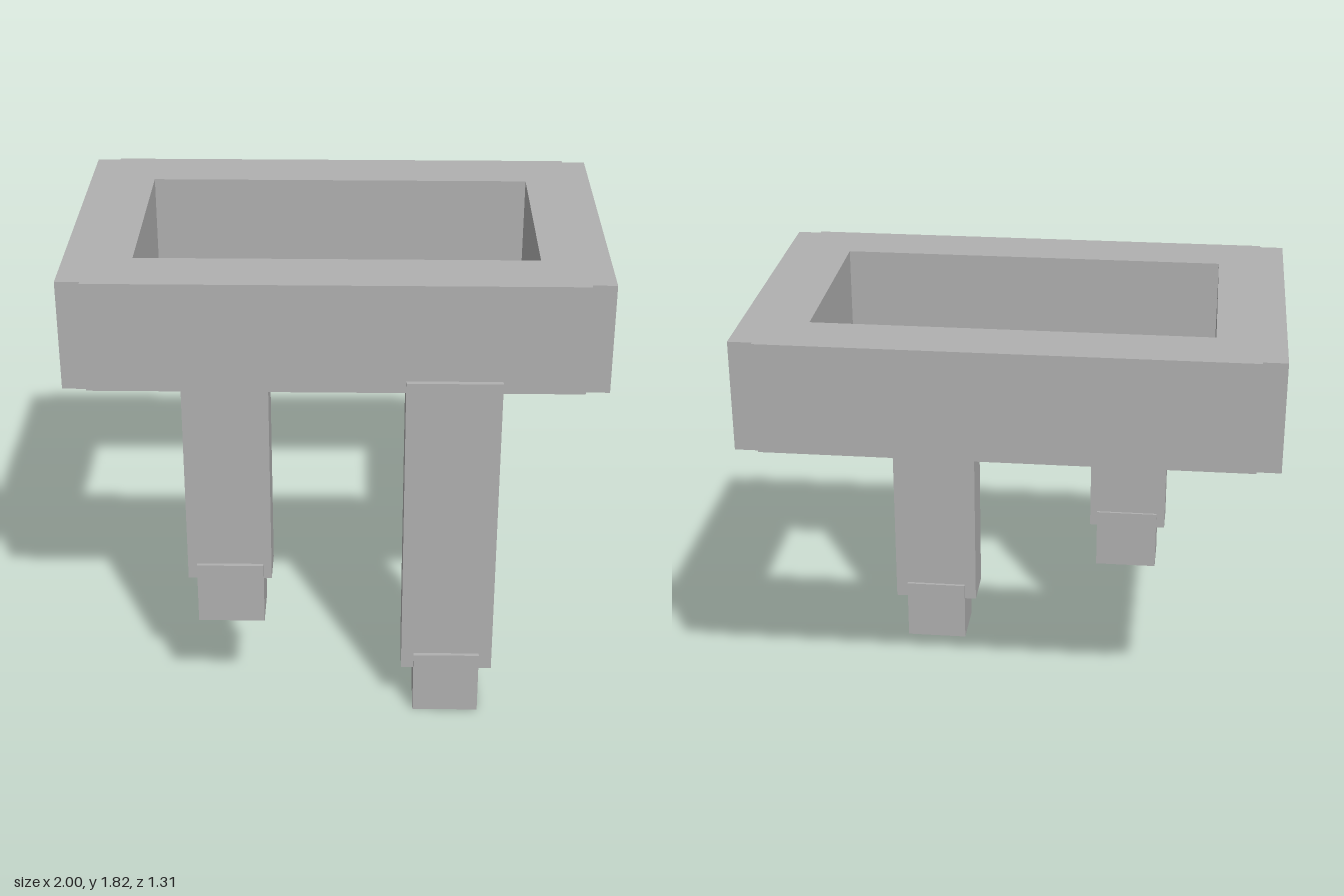
import * as THREE from 'three';

export function createModel() {
  const model = new THREE.Group();
  const grey = new THREE.MeshStandardMaterial({ color: 0xb0b0b0 });
  grey.name = 'plain grey';

  // Box given by its limits along each axis
  function block(name, [x0, x1], [y0, y1], [z0, z1]) {
    const mesh = new THREE.Mesh(new THREE.BoxGeometry(x1 - x0, y1 - y0, z1 - z0), grey);
    mesh.position.set((x0 + x1) / 2, (y0 + y1) / 2, (z0 + z1) / 2);
    mesh.name = name;
    return mesh;
  }

  // Rectangular frame: long rails stand slightly proud of the side rails.
  // Drawn in plan with shape y = -z, then laid flat.
  const toPoints = (list) => list.map(([x, z]) => new THREE.Vector2(x, -z));
  const outline = new THREE.Shape(toPoints([
    [-1, 0.605], [-0.91, 0.605], [-0.91, 0.62], [0.91, 0.62], [0.91, 0.605], [1, 0.605],
    [1, -0.642], [0.91, -0.642], [0.91, -0.656], [-0.91, -0.656], [-0.91, -0.642], [-1, -0.642],
  ]));
  outline.holes.push(new THREE.Path(toPoints([
    [-0.745, 0.383], [-0.745, -0.42], [0.745, -0.42], [0.745, 0.383],
  ])));
  const frameGeometry = new THREE.ExtrudeGeometry(outline, { depth: 0.425, bevelEnabled: false });
  frameGeometry.rotateX(-Math.PI / 2);
  const frame = new THREE.Mesh(frameGeometry, grey);
  frame.position.y = 1.39;
  frame.name = 'frame';
  model.add(frame);

  // Short leg and foot, flush with the front rail
  const shortLeg = new THREE.Group();
  shortLeg.name = 'shortLeg';
  shortLeg.add(
    block('shortLegPost', [-0.565, -0.245], [0.585, 1.4], [0.46, 0.619]),
    block('shortLegFoot', [-0.53, -0.275], [0.4, 0.65], [0.45, 0.635]),
  );

  // Long leg and foot, overlapping the front rail
  const longLeg = new THREE.Group();
  longLeg.name = 'longLeg';
  longLeg.add(
    block('longLegPost', [0.257, 0.61], [0.19, 1.438], [0.453, 0.64]),
    block('longLegFoot', [0.305, 0.56], [0, 0.258], [0.44, 0.656]),
  );

  model.add(shortLeg, longLeg);
  return model;
}
